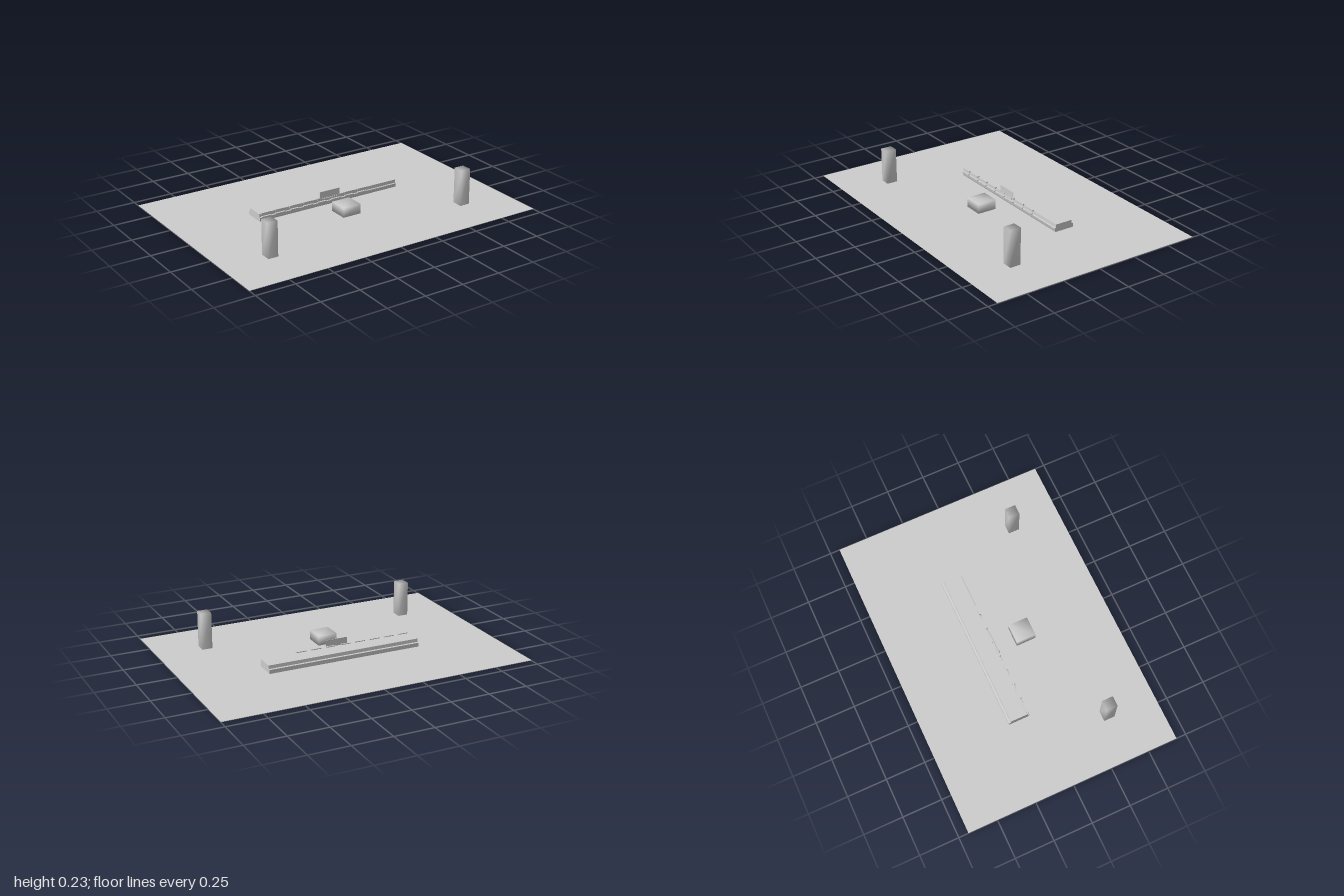
import * as THREE from 'three';
import { mergeVertices } from 'three/addons/utils/BufferGeometryUtils.js';

export function createModel() {
  const model = new THREE.Group();
  model.name = 'courtyardSite';
  const stone = new THREE.MeshStandardMaterial({ color: 0xcccccc, side: THREE.DoubleSide });
  stone.name = 'pale grey stone';

  const add = (name, geometry) => {
    const mesh = new THREE.Mesh(geometry, stone);
    mesh.name = name;
    model.add(mesh);
    return mesh;
  };

  // Box given by its limits; soft boxes share corner normals
  const box = (name, [x0, x1], [y0, y1], [z0, z1], soft = false) => {
    let g = new THREE.BoxGeometry(x1 - x0, y1 - y0, z1 - z0);
    if (soft) {
      g.deleteAttribute('normal');
      g.deleteAttribute('uv');
      g = mergeVertices(g);
      g.computeVertexNormals();
    }
    g.translate((x0 + x1) / 2, (y0 + y1) / 2, (z0 + z1) / 2);
    return add(name, g);
  };

  // Thin ground sheet
  box('ground', [-1, 1], [0, 0.003], [-0.688, 0.688]);

  // Two front pillars, slightly different in height
  box('rightPillar', [-0.72, -0.655], [0.002, 0.224], [0.34, 0.41], true);
  box('leftPillar', [0.652, 0.717], [0.002, 0.234], [0.34, 0.41], true);

  // Raised block in front of the long building
  box('centralBlock', [-0.064, 0.06], [0.015, 0.076], [0.062, 0.187], true);

  // Long stepped building: profile as [-z, y], extruded along x
  const profile = [
    [0.065, 0.002], [0.061, 0.012], [0.058, 0.028], [0.066, 0.03], [0.068, 0.051],
    [0.18, 0.051], [0.182, 0.03], [0.194, 0.028], [0.194, 0.002],
  ];
  const shape = new THREE.Shape(profile.map(([x, y]) => new THREE.Vector2(x, y)));
  const hall = new THREE.ExtrudeGeometry(shape, { depth: 1, bevelEnabled: false });
  hall.rotateY(Math.PI / 2).translate(-0.5, 0, 0);
  add('longBuilding', hall);

  // Two rows of small canopies along the front
  for (let i = 0; i < 8; i++) {
    const x = -0.49 + i * 0.0995;
    box('upperCanopy', [x, x + 0.065], [0.046, 0.056], [-0.073, -0.06]);
    box('lowerCanopy', [x, x + 0.065], [0.027, 0.034], [-0.068, -0.055]);
  }

  // Upright entrance sign and its bracket
  box('entranceSign', [-0.073, 0.07], [0.048, 0.095], [-0.064, -0.062]);
  box('signBracket', [-0.06, 0.055], [0.044, 0.05], [-0.07, -0.056]);

  return model;
}
